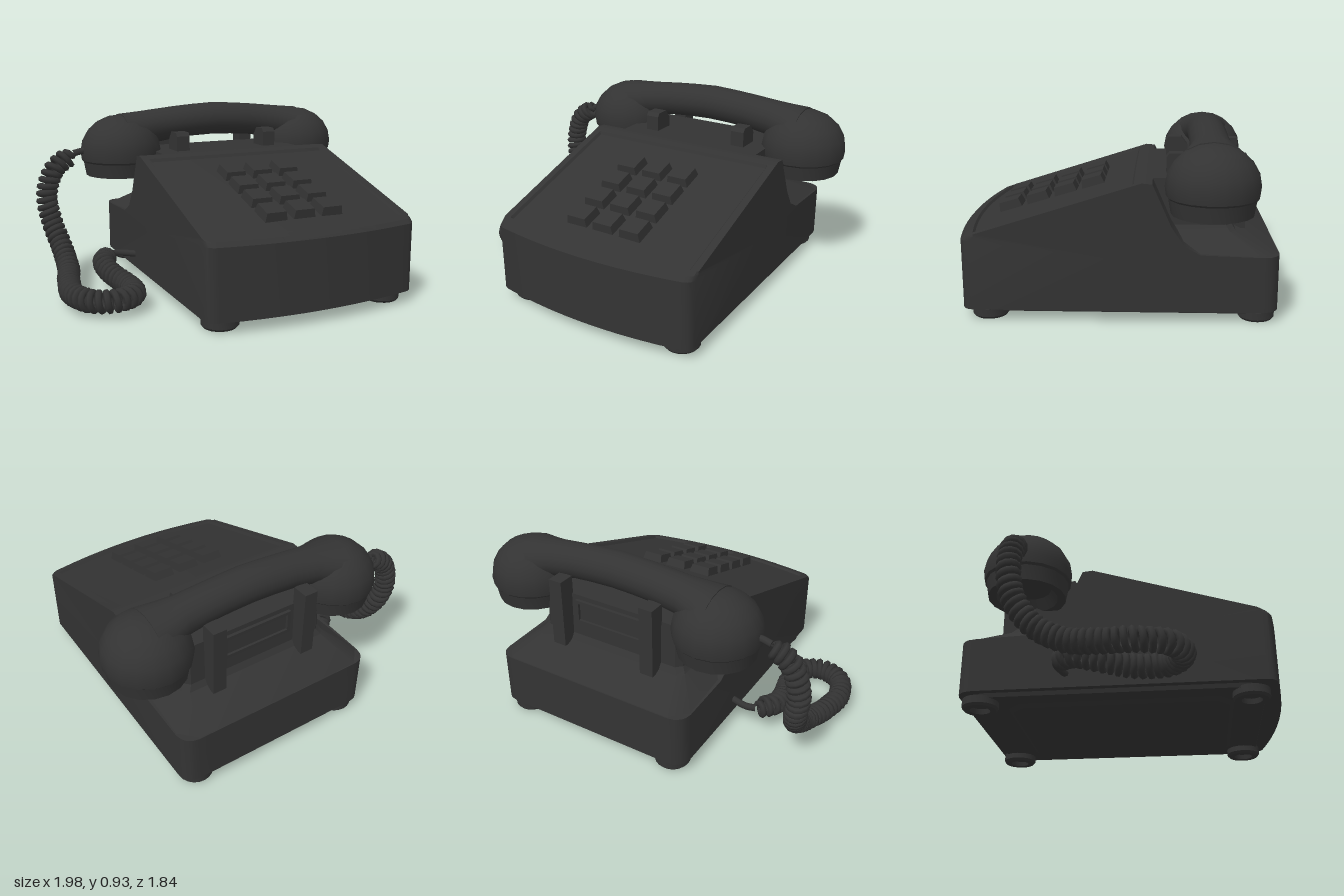
import * as THREE from 'three';
import { toCreasedNormals } from 'three/addons/utils/BufferGeometryUtils.js';

const dark = new THREE.MeshStandardMaterial({ color: 0x333333 });
const darkOpen = new THREE.MeshStandardMaterial({ color: 0x333333, side: THREE.DoubleSide });

function add(parent, name, geometry, x = 0, y = 0, z = 0, material = dark) {
  const mesh = new THREE.Mesh(geometry, material);
  mesh.name = name;
  mesh.position.set(x, y, z);
  parent.add(mesh);
  return mesh;
}

// Skin a list of closed rings and cap both ends
function loft(rings, crease = 0.6) {
  const n = rings[0].length, pos = [], idx = [];
  rings.forEach((r) => r.forEach((p) => pos.push(...p)));
  for (let i = 0; i < rings.length - 1; i++) {
    for (let j = 0; j < n; j++) {
      const a = i * n + j, b = i * n + (j + 1) % n;
      idx.push(a, a + n, b, b, a + n, b + n);
    }
  }
  [0, rings.length - 1].forEach((i) => {
    const c = [0, 1, 2].map((k) => rings[i].reduce((s, p) => s + p[k], 0) / n);
    const ci = pos.length / 3;
    pos.push(...c);
    for (let j = 0; j < n; j++) {
      const a = i * n + j, b = i * n + (j + 1) % n;
      if (i === 0) idx.push(ci, a, b); else idx.push(ci, b, a);
    }
  });
  const g = new THREE.BufferGeometry();
  g.setAttribute('position', new THREE.Float32BufferAttribute(pos, 3));
  g.setIndex(idx);
  return toCreasedNormals(g, crease);
}

// Rectangle with cut corners at height y
function ring(y, half, back, front, c) {
  return [[half, back + c], [half, front - c], [half - c, front], [c - half, front],
    [-half, front - c], [-half, back + c], [c - half, back], [half - c, back]].map(([x, z]) => [x, y, z]);
}

// Flat rectangular frame standing upright
function frameGeometry(w, h, border, depth) {
  const rect = (Type, a, b) => new Type([[-a, -b], [a, -b], [a, b], [-a, b]].map((p) => new THREE.Vector2(...p)));
  const s = rect(THREE.Shape, w / 2, h / 2);
  s.holes.push(rect(THREE.Path, w / 2 - border, h / 2 - border));
  return new THREE.ExtrudeGeometry(s, { depth, bevelEnabled: false });
}

// Wedge housing with a bowed front, rounded upright corners and a sunken keypad panel
function housing() {
  const H = 0.56, sink = 0.014;
  const slope = (w) => [w, 0.425 + (0.85 - w) * 0.294];
  const profile = [...[-0.71, -0.5, -0.3, 0.1, 0.3, 0.5, 0.7, 0.87].map((w) => [w, 0.06]), [0.87, 0.405], slope(0.85),
    slope(0.81), [...slope(0.8), sink], [...slope(0), sink], slope(-0.01), slope(-0.05),
    [-0.1, 0.685], [-0.19, 0.48], [-0.25, 0.39], [-0.33, 0.345], [-0.71, 0.335]];
  const round = (u, r) => {
    const t = Math.max(0, Math.abs(u) - (H - r));
    return r - Math.sqrt(Math.max(0, r * r - t * t));
  };
  const half = [0.1, 0.2, 0.3, 0.4, 0.48, 0.512, 0.522, 0.54, 0.552, 0.56];
  const us = [...half.map((u) => -u).reverse(), 0, ...half];
  return loft(us.map((u) => profile.map(([w, y, drop = 0]) => {
    let z = w - 0.06 * (u / H) ** 2 * THREE.MathUtils.clamp((w + 0.05) / 0.85, 0, 1);
    if (w > 0.84) z -= round(u, 0.04);
    if (w < -0.6) z += round(u, 0.08);
    return [u, Math.abs(u) < 0.52 ? y - drop : y, z];
  })), 0.5);
}

// Key with slightly tapered sides
function keyGeometry() {
  const g = new THREE.BoxGeometry(0.118, 0.045, 0.118).toNonIndexed();
  const p = g.attributes.position;
  for (let i = 0; i < p.count; i++) {
    if (p.getY(i) > 0) p.setXYZ(i, p.getX(i) * 0.87, p.getY(i), p.getZ(i) * 0.87);
  }
  g.computeVertexNormals();
  return g;
}

function buildBase(phone) {
  add(phone, 'housing', housing());
  add(phone, 'cradleNeck', loft([
    ring(0.3, 0.5, -0.66, -0.06, 0.08), ring(0.335, 0.555, -0.705, -0.06, 0.08),
    ring(0.425, 0.435, -0.505, -0.06, 0.03), ring(0.455, 0.415, -0.485, -0.06, 0.03),
    ring(0.685, 0.412, -0.478, -0.06, 0.03)], 0.5));
  add(phone, 'gripFrame', frameGeometry(0.4, 0.13, 0.018, 0.02), 0, 0.595, -0.495);

  // Handset prongs
  for (const x of [-0.267, 0.267]) {
    add(phone, 'rearProng', new THREE.BoxGeometry(0.075, 0.37, 0.09), x, 0.595, -0.515);
    const s = new THREE.Shape([[0.165, 0.67], [0.165, 0.765], [0.18, 0.785], [0.25, 0.785], [0.285, 0.74], [0.285, 0.67]]
      .map((p) => new THREE.Vector2(...p)));
    const g = new THREE.ExtrudeGeometry(s, { depth: 0.075, bevelEnabled: false });
    add(phone, 'frontProng', g.rotateY(Math.PI / 2), x - 0.0375);
  }

  // Keys on the sloping panel
  const keypad = new THREE.Group();
  keypad.name = 'keypad';
  keypad.position.set(0, 0.552, 0.37);
  keypad.rotation.x = 0.286;
  phone.add(keypad);
  for (let row = 0; row < 4; row++) {
    for (let col = -1; col <= 1; col++) add(keypad, 'key', keyGeometry(), col * 0.153, 0.02, -0.171 + row * 0.148);
  }

  // Underside plates and feet
  add(phone, 'basePlate', loft([ring(0.04, 0.52, -0.67, 0.77, 0.08), ring(0.07, 0.53, -0.68, 0.78, 0.08)], 0.3));
  add(phone, 'underPanel', loft([ring(0.022, 0.4, -0.47, 0.6, 0.06), ring(0.045, 0.43, -0.5, 0.63, 0.07)], 0.3));
  const foot = new THREE.LatheGeometry([[0, 0.025], [0.045, 0.025], [0.05, 0], [0.08, 0], [0.09, 0.012], [0.09, 0.05]]
    .map((p) => new THREE.Vector2(...p)), 20);
  for (const x of [-0.45, 0.45]) {
    for (const z of [-0.61, 0.7]) add(phone, 'foot', toCreasedNormals(foot, 0.6), x, 0, z, darkOpen);
  }
}

function buildHandset(phone) {
  const handset = new THREE.Group();
  handset.name = 'handset';
  handset.position.z = -0.38;
  phone.add(handset);

  // Arched grip: [distance, centre height, half height, half depth]
  const half = [[0.557, 0.77, 0.115, 0.17], [0.46, 0.788, 0.105, 0.135], [0.38, 0.805, 0.096, 0.108],
    [0.24, 0.823, 0.092, 0.1], [0.12, 0.832, 0.092, 0.1]];
  const sections = [...half.map(([u, ...r]) => [-u, ...r]), [0, 0.837, 0.093, 0.1], ...half.slice().reverse()];
  add(handset, 'grip', loft(sections.map(([u, cy, hy, hw]) => Array.from({ length: 16 }, (_, i) => {
    const a = i / 16 * Math.PI * 2;
    return [u, cy + hy * Math.sin(a), hw * Math.cos(a)];
  })), 0.9));

  // Domed cups with a recessed underside
  const pts = [[0, 0.62], [0.12, 0.61], [0.155, 0.553], [0.195, 0.55], [0.208, 0.625], [0.218, 0.635]];
  for (let i = 0; i <= 5; i++) {
    const a = i / 5 * Math.PI / 2;
    pts.push([0.224 * Math.cos(a), 0.68 + 0.2 * Math.sin(a)]);
  }
  const cup = new THREE.LatheGeometry(pts.map((p) => new THREE.Vector2(Math.max(0, p[0]), p[1])), 18);
  for (const [name, x] of [['rightCup', -0.557], ['leftCup', 0.557]]) {
    add(handset, name, toCreasedNormals(cup, 0.6), x, 0, 0, darkOpen);
  }
}

// Coiled cord wound round a hanging loop, with plain leads at both ends
function buildCord(root) {
  const path = new THREE.CatmullRomCurve3([
    [-0.82, 0.68, 0.2], [-0.9, 0.6, 0.27], [-0.935, 0.46, 0.3], [-0.905, 0.32, 0.31], [-0.83, 0.2, 0.36],
    [-0.74, 0.12, 0.47], [-0.67, 0.09, 0.61], [-0.58, 0.08, 0.75], [-0.45, 0.08, 0.825], [-0.335, 0.08, 0.79],
    [-0.293, 0.08, 0.68], [-0.37, 0.08, 0.56], [-0.5, 0.1, 0.46], [-0.59, 0.13, 0.36], [-0.6, 0.14, 0.25],
  ].map((p) => new THREE.Vector3(...p)));
  const turns = 57, steps = turns * 12;
  const frames = path.computeFrenetFrames(steps);
  const coil = [];
  for (let i = 0; i <= steps; i++) {
    const a = i / 12 * Math.PI * 2;
    const r = 0.043 * Math.min(1, i / 12, (steps - i) / 12);
    coil.push(path.getPointAt(i / steps)
      .addScaledVector(frames.normals[i], r * Math.cos(a))
      .addScaledVector(frames.binormals[i], r * Math.sin(a)));
  }
  add(root, 'coiledCord', new THREE.TubeGeometry(new THREE.CatmullRomCurve3(coil), steps, 0.017, 6));
  const lead = (name, pts) => add(root, name, new THREE.TubeGeometry(
    new THREE.CatmullRomCurve3(pts.map((p) => new THREE.Vector3(...p))), 10, 0.018, 8));
  lead('handsetLead', [[-0.75, 0.69, 0.14], [-0.78, 0.69, 0.17], [-0.82, 0.68, 0.2]]);
  lead('baseLead', [[-0.6, 0.14, 0.25], [-0.57, 0.14, 0.21], [-0.47, 0.13, 0.17]]);
}

export function createModel() {
  const root = new THREE.Group();
  root.name = 'telephone';
  const phone = new THREE.Group();
  phone.name = 'phone';
  // The phone stands turned towards its left
  const turn = 0.698;
  phone.rotation.y = turn;
  phone.position.set(0.075 * Math.cos(turn), 0, -0.075 * Math.sin(turn));
  root.add(phone);
  buildBase(phone);
  buildHandset(phone);
  buildCord(root);
  return root;
}
